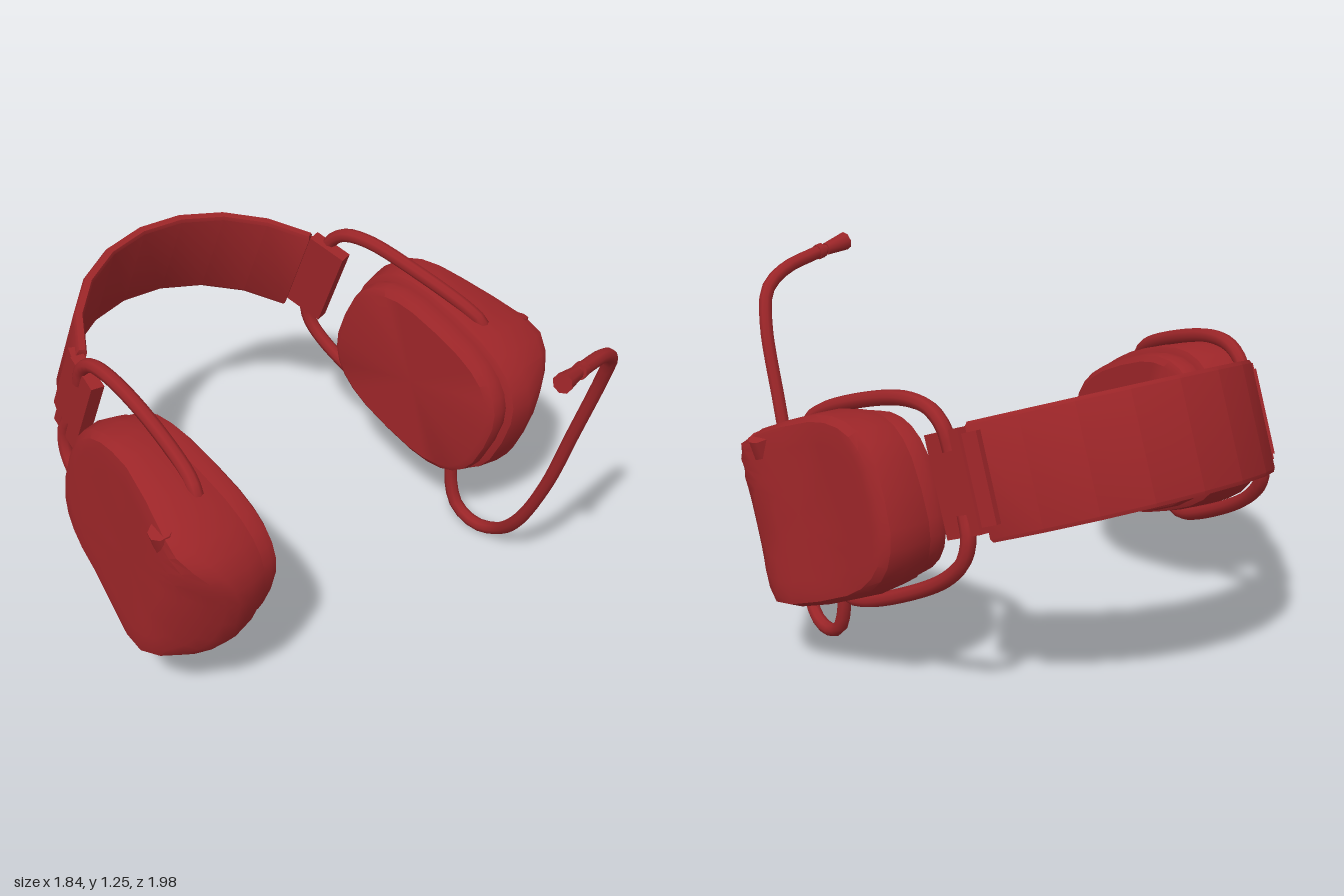
import * as THREE from 'three';
import { toCreasedNormals } from 'three/addons/utils/BufferGeometryUtils.js';

const material = new THREE.MeshStandardMaterial({ color: 0x9b2528 });
const TILT = 0.384;

function add(parent, name, geometry) {
  const mesh = new THREE.Mesh(geometry, material);
  mesh.name = name;
  parent.add(mesh);
}

// Flip a geometry across x = 0, restoring the winding of its triangles
function mirror(geometry) {
  const g = geometry.index ? geometry.toNonIndexed() : geometry.clone();
  for (const key of ['position', 'normal']) {
    const a = g.attributes[key];
    for (let i = 0; i < a.count; i += 3) {
      const p = [0, 2, 1].map(k => [-a.getX(i + k), a.getY(i + k), a.getZ(i + k)]);
      p.forEach((v, k) => a.setXYZ(i + k, ...v));
    }
  }
  return g;
}

function addPair(parent, name, geometry) {
  add(parent, 'left' + name, geometry);
  add(parent, 'right' + name, mirror(geometry));
}

// Round rod through a list of points
function rod(points, radius, segments) {
  const pts = points.map(p => new THREE.Vector3(...p));
  const curve = new THREE.CatmullRomCurve3(pts, false, 'centripetal');
  return new THREE.TubeGeometry(curve, segments, radius, 8);
}

// Cylinder between two points
function strut(a, b, ra, rb) {
  const p = new THREE.Vector3(...a), q = new THREE.Vector3(...b);
  const d = q.clone().sub(p);
  const g = new THREE.CylinderGeometry(rb, ra, d.length(), 8);
  g.applyQuaternion(new THREE.Quaternion().setFromUnitVectors(new THREE.Vector3(0, 1, 0), d.normalize()));
  const m = p.add(q).multiplyScalar(0.5);
  return g.translate(m.x, m.y, m.z);
}

// Surface through rounded-oval rings; each ring is { s: scale, x: (z, y) => x }
function loftOval(rings, cy, cz, ry, rz, n = 28) {
  const pos = [], idx = [];
  const pw = v => Math.sign(v) * Math.abs(v) ** (2 / 2.8);
  rings.forEach(({ s, x }, i) => {
    for (let j = 0; j < n; j++) {
      const a = (j / n) * Math.PI * 2;
      const z = cz + rz * s * pw(Math.cos(a)), y = cy + ry * s * pw(Math.sin(a));
      pos.push(x(z, y), y, z);
      if (i === rings.length - 1) continue;
      const A = i * n + j, D = i * n + (j + 1) % n, B = A + n, C = D + n;
      idx.push(A, B, C, A, C, D);
    }
  });
  const g = new THREE.BufferGeometry();
  g.setAttribute('position', new THREE.Float32BufferAttribute(pos, 3));
  g.setIndex(idx);
  return toCreasedNormals(g, 0.6);
}

// Outer cup face: rises toward the front, then drops steeply
const FACE = [[-0.64, 0.78], [-0.33, 0.825], [-0.07, 0.905], [0, 0.91], [0.07, 0.87], [0.155, 0.78], [0.2, 0.72]];
function faceX(z) {
  if (z <= FACE[0][0]) return FACE[0][1];
  for (let i = 1; i < FACE.length; i++) {
    const [z0, x0] = FACE[i - 1], [z1, x1] = FACE[i];
    if (z <= z1) return x0 + (x1 - x0) * (z - z0) / (z1 - z0);
  }
  return FACE[FACE.length - 1][1];
}

export function createModel() {
  const model = new THREE.Group();
  model.name = 'headset';
  const tilted = new THREE.Group();
  tilted.name = 'tiltedFrame';
  tilted.rotation.x = TILT;
  model.add(tilted);

  // Headband: faceted arc extruded across its width
  const R = 0.643, T = 0.035, N = 8, HALF = 1.09, cz = 0.572;
  const arc = r => Array.from({ length: N + 1 }, (_, i) => {
    const a = -HALF + (2 * HALF * i) / N;
    return new THREE.Vector2(r * Math.sin(a), cz + r * Math.cos(a));
  });
  const band = new THREE.ExtrudeGeometry(new THREE.Shape([...arc(R), ...arc(R - T).reverse()]), {
    depth: 0.35, bevelEnabled: true, bevelThickness: 0.012, bevelSize: 0.006, bevelOffset: -0.006, bevelSegments: 1,
  });
  band.rotateX(-Math.PI / 2).translate(0, 0.36, 0);
  add(tilted, 'headband', toCreasedNormals(band, 0.5));

  // Sliders at the ends of the band
  const slider = new THREE.BoxGeometry(0.05, 0.33, 0.15);
  slider.rotateY(0.2).translate(0.59, 0.545, -0.79);
  addPair(tilted, 'Slider', slider);
  const tongue = new THREE.BoxGeometry(0.025, 0.29, 0.08);
  tongue.rotateY(0.4).translate(0.57, 0.545, -0.875);
  addPair(tilted, 'SliderTongue', tongue);

  // Wire arms, above and below each cup
  for (const s of [1, -1]) {
    const path = [
      [0.7, 0.24, -0.13], [0.705, 0.295, -0.15], [0.69, 0.318, -0.21], [0.648, 0.315, -0.47],
      [0.625, 0.283, -0.67], [0.612, 0.235, -0.765], [0.605, 0.17, -0.805], [0.6, 0.1, -0.805],
    ].map(([x, y, z]) => [x, 0.547 + s * y, z]);
    addPair(tilted, s > 0 ? 'UpperArm' : 'LowerArm', rod(path, 0.025, 28));
  }

  // Ear cushions, leaning slightly inward at the bottom
  const lean = x => (z, y) => x + 0.05 * (y - 0.55);
  const cushion = loftOval([
    { s: 0.001, x: lean(0.53) }, { s: 0.84, x: lean(0.53) }, { s: 0.9, x: lean(0.545) },
    { s: 0.92, x: lean(0.575) }, { s: 0.9, x: lean(0.61) }, { s: 0.8, x: lean(0.62) },
  ], 0.55, -0.225, 0.31, 0.41);
  addPair(tilted, 'EarCushion', cushion);

  // Ear cups
  const toward = t => z => 0.7 + (faceX(z) - 0.7) * t;
  const cup = loftOval([
    { s: 0.001, x: lean(0.605) }, { s: 0.88, x: lean(0.605) }, { s: 0.96, x: lean(0.62) }, { s: 1, x: toward(0) },
    { s: 0.985, x: toward(0.75) }, { s: 0.93, x: toward(0.97) }, { s: 0.84, x: toward(1) },
    { s: 0.7, x: toward(1) }, { s: 0.5, x: toward(1) }, { s: 0.25, x: toward(1) }, { s: 0.001, x: toward(1) },
  ], 0.55, -0.225, 0.31, 0.41);
  addPair(tilted, 'EarCup', cup);

  // Knobs on the outer faces
  addPair(model, 'Knob', strut([0.845, 0.71, 0.2], [0.88, 0.81, 0.2], 0.045, 0.042));

  // Microphone boom on the left cup
  const boom = [
    [0.62, 0.34, 0.14], [0.62, 0.16, 0.14], [0.62, 0.07, 0.175], [0.62, 0.032, 0.26], [0.615, 0.06, 0.36],
    [0.56, 0.2, 0.5], [0.533, 0.44, 0.63], [0.525, 0.72, 0.73], [0.512, 1.0, 0.83], [0.475, 1.11, 0.875],
    [0.39, 1.168, 0.9], [0.23, 1.205, 0.932],
  ];
  add(model, 'microphoneBoom', rod(boom, 0.024, 44));
  add(model, 'microphoneCollar', strut([0.235, 1.204, 0.931], [0.21, 1.208, 0.935], 0.028, 0.028));
  add(model, 'microphoneNeck', strut([0.22, 1.206, 0.933], [0.19, 1.211, 0.938], 0.018, 0.018));
  add(model, 'microphoneHead', strut([0.195, 1.21, 0.937], [0.1, 1.226, 0.955], 0.023, 0.034));
  return model;
}
